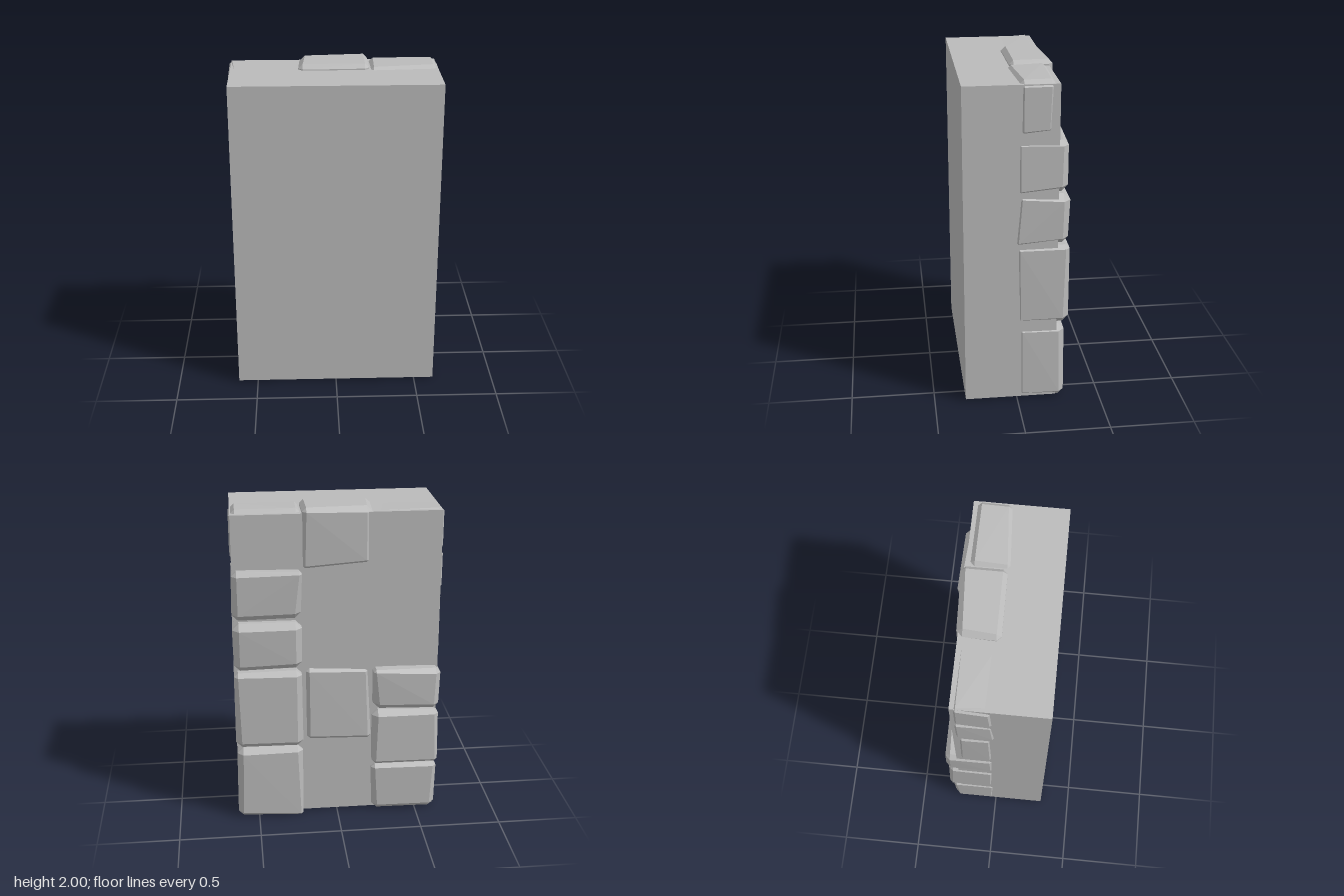
import * as THREE from 'three';
import { ConvexGeometry } from 'three/addons/geometries/ConvexGeometry.js';

const stone = new THREE.MeshStandardMaterial({ color: 0xbababa });
stone.name = 'grey stone';

let seed = 7;
function rnd() {
  seed = (seed * 16807) % 2147483647;
  return seed / 2147483647;
}

// Rough-hewn block: every corner is cut and pulled slightly inward
function roughBlock(name, [x0, x1], [y0, y1], [z0, z1]) {
  const points = [];
  for (const [x, sx] of [[x0, 1], [x1, -1]])
    for (const [y, sy] of [[y0, 1], [y1, -1]])
      for (const [z, sz] of [[z0, 1], [z1, -1]]) {
        const c = 0.014 + 0.026 * rnd();
        const px = x + sx * 0.008 * rnd();
        const py = y + sy * 0.01 * rnd();
        const pz = z + sz * 0.014 * rnd();
        points.push(
          new THREE.Vector3(px, py + sy * c, pz + sz * c),
          new THREE.Vector3(px + sx * c, py, pz + sz * c),
          new THREE.Vector3(px + sx * c, py + sy * c, pz));
      }
  const mesh = new THREE.Mesh(new ConvexGeometry(points), stone);
  mesh.name = name;
  return mesh;
}

export function createModel() {
  seed = 7;
  const group = new THREE.Group();
  group.name = 'stoneWall';

  // Plain wall body
  const core = new THREE.Mesh(new THREE.BoxGeometry(1.24, 1.95, 0.548), stone);
  core.name = 'wallBody';
  core.position.set(0, 0.99, 0.039);
  group.add(core);

  // Columns of blocks: [bottom, top, back z]
  const columns = [
    { name: 'leftBlock', x: [0.212, 0.632], rows: [
      [0.0, 0.492, -0.292], [0.498, 1.008, -0.312], [1.012, 1.322, -0.308],
      [1.328, 1.638, -0.302], [1.66, 1.99, -0.228]] },
    { name: 'middleBlock', x: [-0.216, 0.208], rows: [
      [0.002, 0.49, -0.233], [0.51, 1.01, -0.258], [1.63, 2.0, -0.258]] },
    { name: 'rightBlock', x: [-0.632, -0.214], rows: [
      [0.0, 0.335, -0.292], [0.34, 0.715, -0.306], [0.72, 0.995, -0.316],
      [1.0, 1.46, -0.228], [1.47, 1.71, -0.23], [1.715, 1.972, -0.23]] },
  ];
  for (const { name, x, rows } of columns)
    rows.forEach(([y0, y1, back], i) =>
      group.add(roughBlock(name + (i + 1), x, [y0, y1], [back, 0.012])));

  return group;
}
